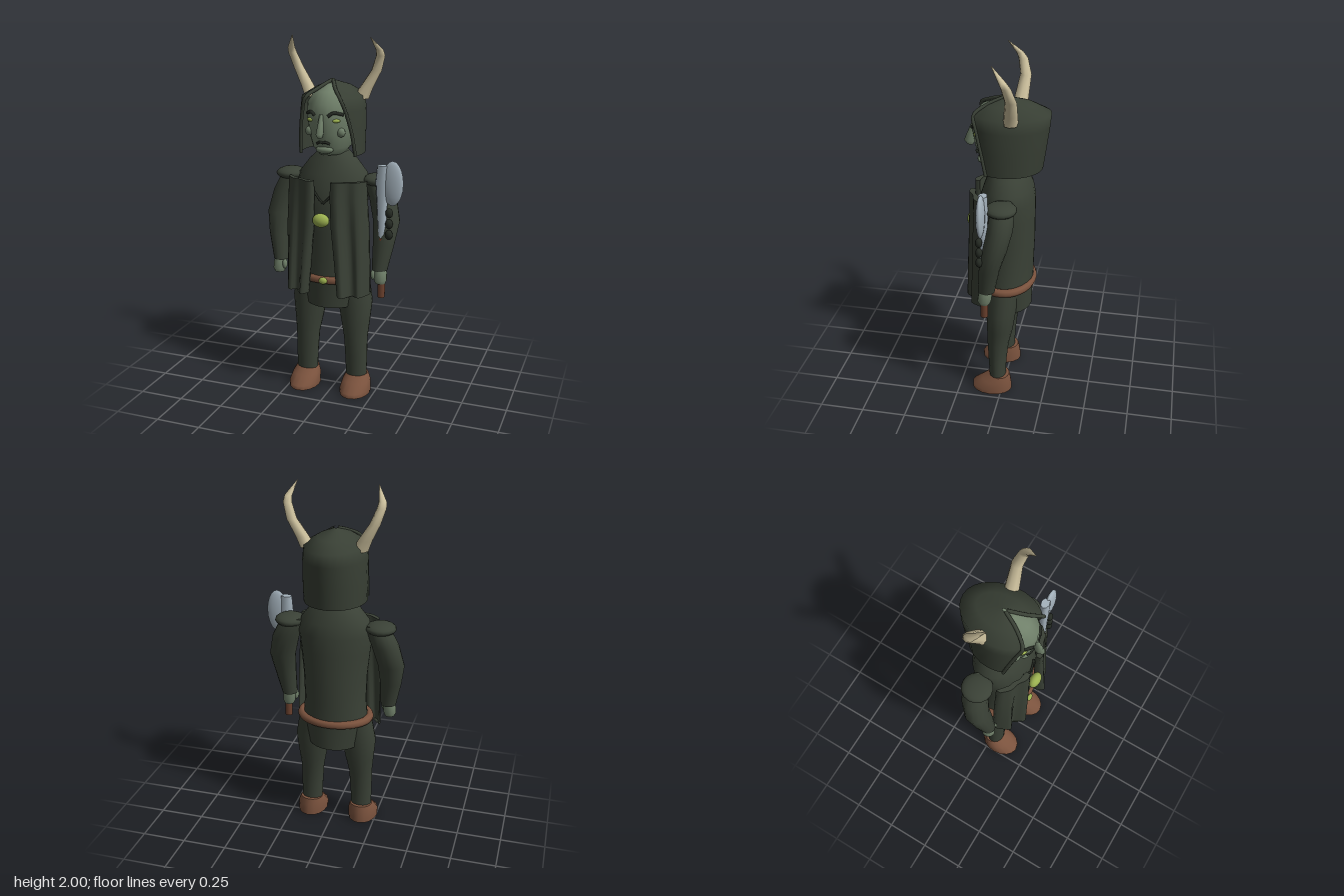
import * as THREE from 'three';

const mat = (name, color, side = THREE.FrontSide) => {
  const m = new THREE.MeshStandardMaterial({ color, side });
  m.name = name;
  return m;
};

// Skin a list of point rows (bottom to top); s = -1 mirrors across x
function skin(rows, closed = true, s = 1) {
  const pos = [], idx = [];
  const pts = rows.map(r => {
    const q = r.map(p => [p[0] * s, p[1], p[2]]);
    return s < 0 ? q.reverse() : q;
  });
  const n = pts[0].length, m = closed ? n : n - 1;
  pts.forEach(r => r.forEach(p => pos.push(...p)));
  for (let i = 0; i < pts.length - 1; i++) for (let j = 0; j < m; j++) {
    const k = (j + 1) % n, a = i * n + j, b = i * n + k;
    idx.push(a, b, b + n, a, b + n, a + n);
  }
  // flat end caps with their own corners
  if (closed) for (const [r, up] of [[pts[0], false], [pts[pts.length - 1], true]]) {
    const base = pos.length / 3;
    r.forEach(p => pos.push(...p));
    pos.push(...[0, 1, 2].map(c => r.reduce((t, p) => t + p[c], 0) / n));
    for (let j = 0; j < n; j++) {
      const k = (j + 1) % n;
      up ? idx.push(base + n, base + j, base + k) : idx.push(base + n, base + k, base + j);
    }
  }
  const g = new THREE.BufferGeometry();
  g.setAttribute('position', new THREE.Float32BufferAttribute(pos, 3));
  g.setIndex(idx);
  g.computeVertexNormals();
  return g;
}

// Elliptical cross-sections: [y, centre x, centre z, radius x, radius z]
function loft(rings, s = 1, seg = 16) {
  return skin(rings.map(([y, cx, cz, rx, rz]) => Array.from({ length: seg }, (_, j) => {
    const t = j / seg * Math.PI * 2;
    return [cx + rx * Math.sin(t), y, cz + rz * Math.cos(t)];
  })), true, s);
}

export function createModel() {
  const cloth = mat('darkCloth', 0x3a4136);
  const hoodCloth = mat('hoodCloth', 0x383f34, THREE.DoubleSide);
  const skinMat = mat('skin', 0x6f7f69);
  const leather = mat('leather', 0x7a523d);
  const horn = mat('horn', 0xcabe9b);
  const steel = mat('steel', 0xa6b4be);
  const lime = mat('lime', 0x9bb050);
  const dark = mat('darkTrim', 0x252a23);
  const wood = mat('wood', 0x6a402d);

  const model = new THREE.Group();
  const body = new THREE.Group();
  body.name = 'figure';
  body.position.x = -0.015;
  model.add(body);

  const add = (name, geo, m) => {
    const mesh = new THREE.Mesh(geo, m);
    mesh.name = name;
    body.add(mesh);
    return mesh;
  };
  const ball = (name, m, x, y, z, rx, ry, rz) => {
    const b = add(name, new THREE.SphereGeometry(1, 16, 10), m);
    b.position.set(x, y, z);
    b.scale.set(rx, ry, rz);
    return b;
  };
  const tube = (name, m, pts, r, steps = 16, loop = false) => {
    const c = new THREE.CatmullRomCurve3(pts.map(p => new THREE.Vector3(...p)), loop);
    return add(name, new THREE.TubeGeometry(c, steps, r, 8, loop), m);
  };

  // Torso, skirt and belt
  add('torso', loft([
    [0.66, 0, 0, 0.185, 0.15], [0.8, 0, 0, 0.175, 0.152], [0.95, 0, 0, 0.18, 0.157],
    [1.1, 0, 0.003, 0.195, 0.16], [1.2, 0, -0.005, 0.205, 0.152], [1.27, 0, -0.01, 0.19, 0.135],
    [1.34, 0, -0.01, 0.135, 0.11], [1.39, 0, -0.01, 0.08, 0.085]], 1, 24), cloth);
  add('skirt', loft([[0.52, 0, 0, 0.152, 0.143], [0.6, 0, 0, 0.17, 0.146], [0.7, 0, 0, 0.188, 0.15]], 1, 24), cloth);
  const belt = [];
  for (let i = 0; i < 16; i++) {
    const t = i / 16 * Math.PI * 2;
    belt.push([0.195 * Math.sin(t), 0.685, 0.145 * Math.cos(t)]);
  }
  tube('belt', leather, belt, 0.024, 40, true);
  ball('buckle', lime, 0, 0.687, 0.168, 0.024, 0.02, 0.015);
  ball('brooch', lime, 0, 1.04, 0.195, 0.048, 0.038, 0.03);

  // Neck and head
  add('neck', new THREE.CylinderGeometry(0.075, 0.085, 0.1, 16), skinMat).position.set(0, 1.41, -0.01);
  const face = [
    [1.38, 0, 0.01, 0.07, 0.1], [1.42, 0, 0.01, 0.1, 0.138], [1.5, 0, 0.01, 0.122, 0.162],
    [1.58, 0, 0.01, 0.13, 0.175], [1.66, 0, 0.01, 0.126, 0.175], [1.72, 0, 0.005, 0.09, 0.13],
    [1.755, 0, 0, 0.025, 0.05]];
  add('head', loft(face, 1, 24), skinMat);
  const faceZ = (x, y) => {
    const i = Math.max(1, face.findIndex(r => r[0] >= y));
    const a = face[i - 1], b = face[i], f = (y - a[0]) / (b[0] - a[0]);
    const mix = k => a[k] + (b[k] - a[k]) * f;
    return mix(2) + mix(4) * Math.sqrt(Math.max(0, 1 - (x / mix(3)) ** 2));
  };
  const on = (x, y, lift = 0) => [x, y, faceZ(x, y) + lift];
  add('nose', loft([[1.49, 0, 0.2, 0.013, 0.018], [1.51, 0, 0.205, 0.02, 0.03],
    [1.56, 0, 0.19, 0.014, 0.024], [1.61, 0, 0.178, 0.01, 0.015]], 1, 8), skinMat);
  tube('mouth', dark, [on(-0.035, 1.45, 0.002), on(-0.015, 1.46, 0.004), on(0, 1.456, 0.004),
    on(0.015, 1.46, 0.004), on(0.035, 1.45, 0.002)], 0.007);
  ball('chin', skinMat, 0, 1.415, 0.135, 0.05, 0.022, 0.025);
  for (const s of [1, -1]) {
    ball('eye', lime, ...on(s * 0.073, 1.575), 0.022, 0.01, 0.01).rotation.y = s * 0.5;
    tube('brow', dark, [on(s * 0.035, 1.6, 0.003), on(s * 0.06, 1.617, 0.004), on(s * 0.1, 1.605, 0.003)], 0.009);
    ball('wart', skinMat, ...on(s * 0.088, 1.51), 0.025, 0.025, 0.018);
  }

  // Hood shell, open at the front: [y, side radius, back radius, front radius, opening half angle]
  const hoodRings = [[1.38, 0.172, 0.195, 0.2, 1.13], [1.5, 0.174, 0.212, 0.2, 0.98],
    [1.62, 0.172, 0.228, 0.2, 0.78], [1.69, 0.163, 0.235, 0.2, 0.64],
    [1.735, 0.09, 0.15, 0.115, 0.55], [1.77, 0.006, 0.01, 0.01, 0.5]];
  const hoodRows = hoodRings.map(([y, a, back, front, open]) => Array.from({ length: 25 }, (_, j) => {
    const t = open + (2 * Math.PI - 2 * open) * j / 24, c = Math.cos(t);
    return [a * Math.sin(t), y, c * (c < 0 ? back : front)];
  }));
  add('hood', skin(hoodRows, false), hoodCloth);
  for (const j of [0, 24]) tube('hoodRim', cloth, hoodRows.map(r => r[j]), 0.01, 20);

  for (const s of [1, -1]) {
    // Horns
    add('horn', loft([[1.67, 0.14, -0.045, 0.045, 0.04], [1.73, 0.17, -0.05, 0.037, 0.037],
      [1.82, 0.222, -0.06, 0.029, 0.031], [1.9, 0.25, -0.04, 0.025, 0.026],
      [1.93, 0.25, -0.022, 0.021, 0.021], [2.0, 0.218, 0.038, 0.002, 0.002]], s, 8), horn);

    // Shoulder pads, arms and hands
    ball('shoulderPad', cloth, s * 0.255, 1.24, -0.015, 0.085, 0.035, 0.085);
    add('arm', loft([[0.755, 0.292, 0.06, 0.043, 0.046], [0.9, 0.307, 0.04, 0.06, 0.056],
      [1.02, 0.312, 0.01, 0.074, 0.066], [1.14, 0.283, -0.015, 0.076, 0.07],
      [1.22, 0.25, -0.02, 0.07, 0.065], [1.26, 0.225, -0.02, 0.05, 0.05]], s), cloth);
    add('hand', loft([[0.68, 0.3, 0.07, 0.028, 0.03], [0.7, 0.3, 0.07, 0.036, 0.038],
      [0.74, 0.297, 0.065, 0.037, 0.038], [0.77, 0.293, 0.06, 0.03, 0.032]], s, 12), skinMat);
    ball('thumb', skinMat, s * 0.262, 0.73, 0.085, 0.014, 0.03, 0.018);

    // Legs and shoes
    add('leg', loft([[0.08, 0.15, 0.027, 0.06, 0.047], [0.2, 0.149, 0.028, 0.064, 0.052],
      [0.32, 0.145, 0.025, 0.068, 0.062], [0.42, 0.14, 0.015, 0.083, 0.075],
      [0.54, 0.135, 0.008, 0.1, 0.085], [0.68, 0.115, 0, 0.095, 0.09]], s), cloth);
    add('shoe', loft([[0, 0.155, 0.06, 0.086, 0.117], [0.025, 0.155, 0.06, 0.086, 0.117],
      [0.065, 0.154, 0.035, 0.08, 0.085], [0.1, 0.152, 0.015, 0.064, 0.055]], s), leather);

    // Folded cloak panel: [y, inner x, outer x, fold depth]
    const panel = [[0.61, 0.085, 0.243, 0.024], [0.8, 0.07, 0.24, 0.02], [1.0, 0.052, 0.235, 0.014],
      [1.15, 0.048, 0.225, 0.009], [1.25, 0.05, 0.22, 0.006]];
    const line = (u, [y, xi, xo, d], off) => [xi + (xo - xi) * u, y,
      0.182 - 0.06 * u * u - 0.022 * u + d * Math.sin(u * 11 - 0.6) + off];
    add('cloakPanel', skin(panel.map(p => {
      const us = Array.from({ length: 13 }, (_, i) => i / 12);
      return [...us.map(u => line(u, p, 0.01)), ...us.reverse().map(u => line(u, p, -0.016))];
    }), true, s), cloth);

    // Collar seam
    tube('collarSeam', dark, [[0, 1.125, 0.162], [s * 0.03, 1.155, 0.158], [s * 0.055, 1.185, 0.15]], 0.006, 8);
  }

  // Axe in the left hand
  add('axeHandle', new THREE.CylinderGeometry(0.021, 0.021, 0.34, 12), wood).position.set(0.305, 0.77, 0.07);
  add('axeShaft', loft([[0.91, 0.305, 0.07, 0.019, 0.018], [1.1, 0.303, 0.07, 0.028, 0.022],
    [1.25, 0.303, 0.07, 0.038, 0.027], [1.34, 0.305, 0.07, 0.032, 0.024]], 1, 8), steel);
  ball('axeBlade', steel, 0.36, 1.245, 0.072, 0.06, 0.122, 0.022);
  for (const y of [0.965, 1.025, 1.085]) ball('axeBead', dark, 0.348, y, 0.085, 0.021, 0.027, 0.019);

  return model;
}
